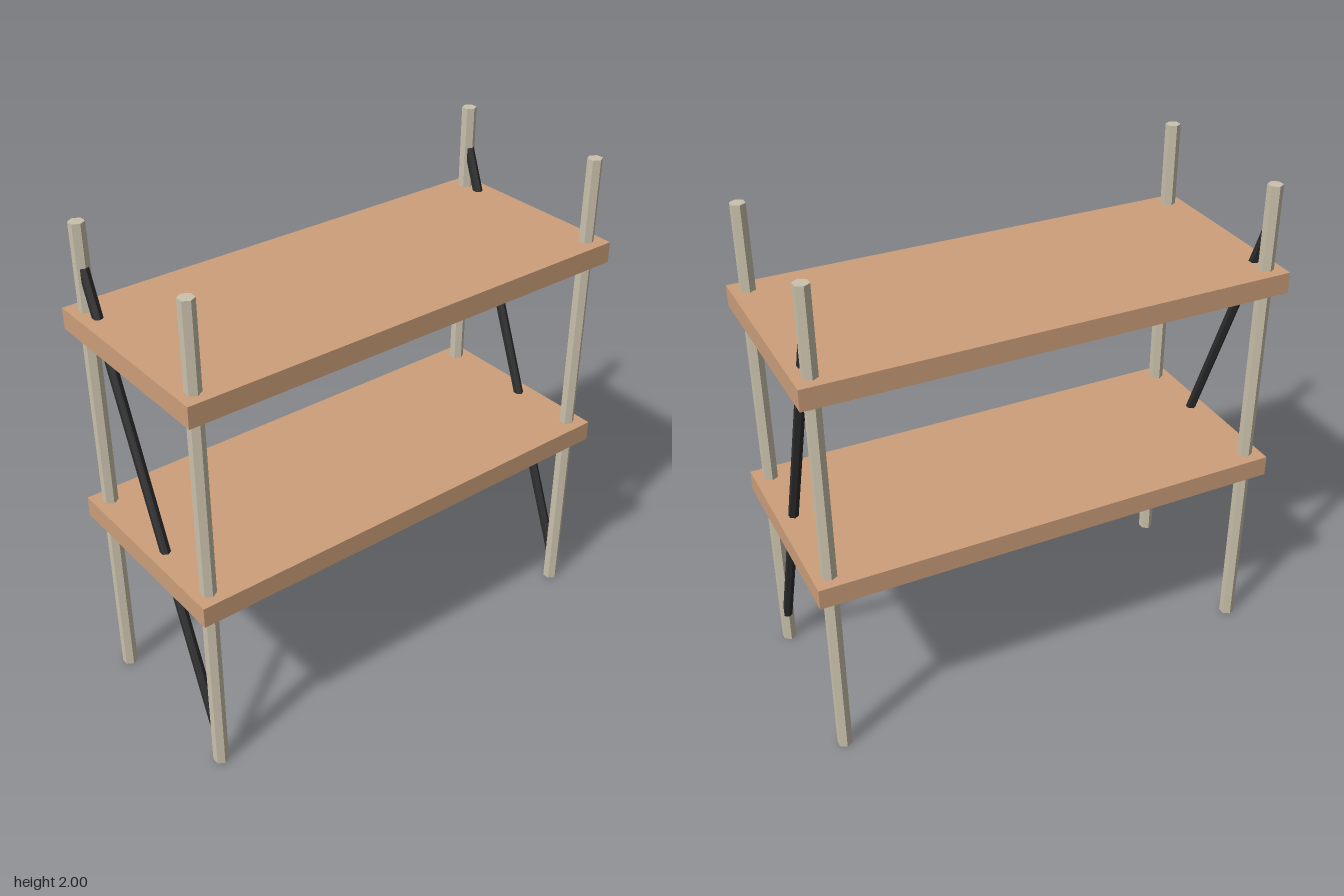
import * as THREE from 'three';

export function createModel() {
  const model = new THREE.Group();
  model.name = 'shelfUnit';

  const material = (name, color) => {
    const m = new THREE.MeshStandardMaterial({ color, flatShading: true });
    m.name = name;
    return m;
  };
  const wood = material('wood', 0xcd9f7a);
  const paleMetal = material('paleMetal', 0xcac1ac);
  const blackMetal = material('blackMetal', 0x2d2d2f);

  const add = (name, geometry, mat, x, y, z) => {
    const mesh = new THREE.Mesh(geometry, mat);
    mesh.name = name;
    mesh.position.set(x, y, z);
    model.add(mesh);
    return mesh;
  };

  const postX = 0.892, postZ = 0.345;

  // Two thick boards
  const board = new THREE.BoxGeometry(1.91, 0.084, 0.822);
  add('lowerShelf', board, wood, 0, 0.793, 0);
  add('upperShelf', board, wood, 0, 1.621, 0);

  // Hexagonal posts, and a slanted brace running from front foot to back top
  const post = new THREE.CylinderGeometry(0.03, 0.03, 2, 6);
  const rise = 1.752, run = 2 * postZ;
  const brace = new THREE.CylinderGeometry(0.02, 0.02, Math.hypot(rise, run), 6);

  for (const [side, x] of [['left', postX], ['right', -postX]]) {
    add(side + 'FrontPost', post, paleMetal, x, 1, postZ);
    add(side + 'BackPost', post, paleMetal, x, 1, -postZ);
    add(side + 'Brace', brace, blackMetal, x, 0.98, 0).rotation.x = -Math.atan2(run, rise);
  }

  return model;
}
